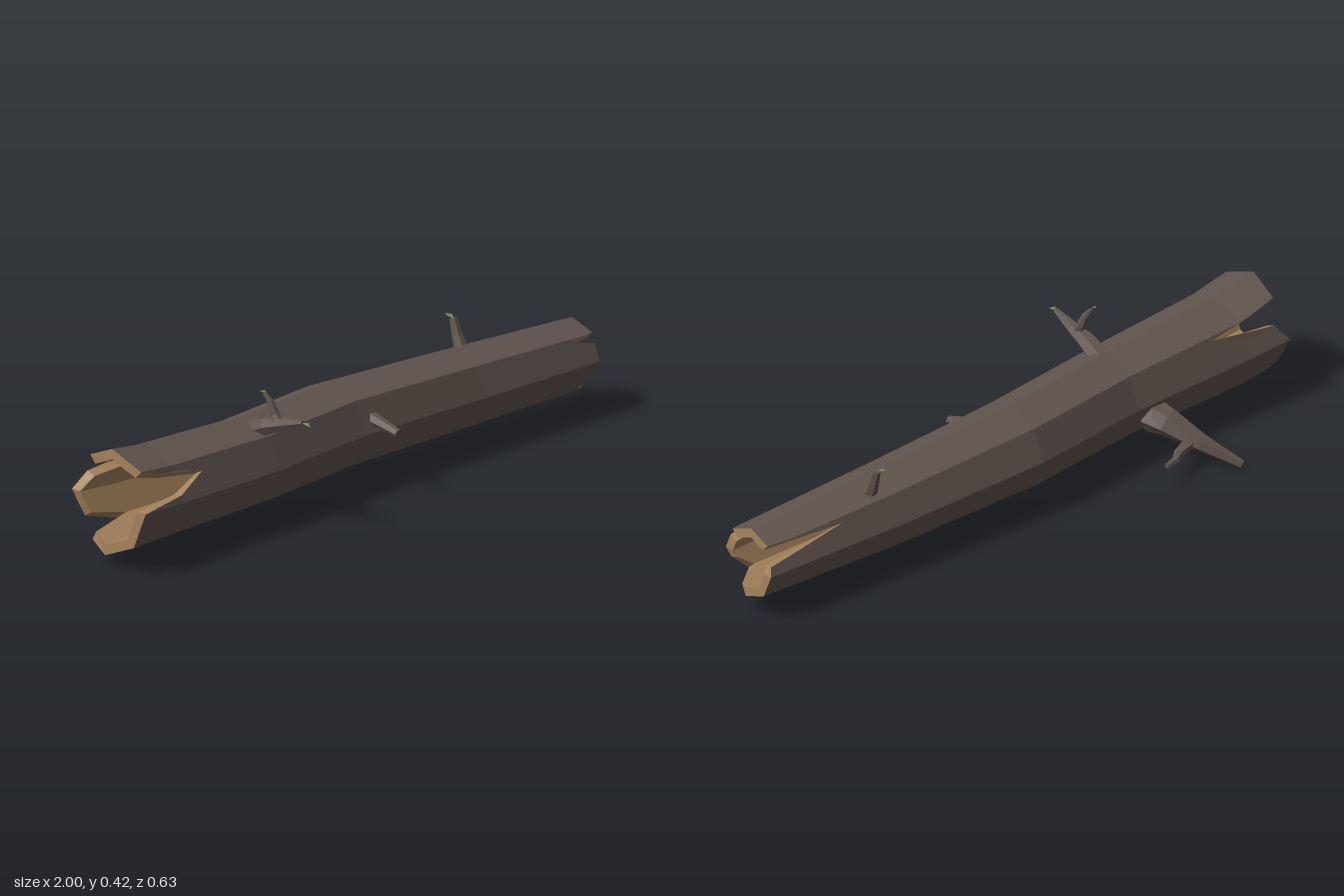
import * as THREE from 'three';

const mat = (color) => new THREE.MeshStandardMaterial({ color, flatShading: true, side: THREE.DoubleSide, roughness: 0.9 });
const V = (x, y, z) => new THREE.Vector3(x, y, z);

// Collects quads and turns them into a flat-shaded mesh
function quadMesh(name, quads, material) {
  const pts = [];
  for (const [a, b, c, d] of quads) pts.push(a, b, c, a, c, d);
  const geo = new THREE.BufferGeometry().setFromPoints(pts);
  geo.computeVertexNormals();
  const mesh = new THREE.Mesh(geo, material);
  mesh.name = name;
  return mesh;
}

// Piecewise linear lookup: rows of [key, ...values]
function lookup(table, t) {
  let i = 0;
  while (i < table.length - 2 && t > table[i + 1][0]) i++;
  const [a, b] = [table[i], table[i + 1]];
  const f = (t - a[0]) / (b[0] - a[0]);
  return a.slice(1).map((v, k) => v + (b[k + 1] - v) * f);
}

// Trunk stations: x, centre y, centre z, outer radius, inner radius
const TRUNK = [
  [-1, 0.2, 0.052, 0.16, 0.128],
  [-0.82, 0.188, 0.048, 0.148, 0.115],
  [-0.4, 0.18, 0.048, 0.137, 0.106],
  [0, 0.18, 0.015, 0.136, 0.103],
  [0.5, 0.17, 0.029, 0.125, 0.094],
  [1, 0.165, 0.052, 0.109, 0.079],
];

// Splintered ends: x of the broken edge by octagon corner (0 top, 2 front, 4 bottom, 6 back)
const LEFT_END = [
  [0, -0.97], [1, -0.965], [1.15, -0.87], [1.35, -0.71], [1.8, -0.82], [2, -1], [4, -1], [4.6, -0.98],
  [5, -0.82], [5.3, -0.95], [6, -0.97], [6.5, -0.93], [6.9, -0.71], [7.05, -0.88], [7.15, -0.96], [8, -0.97],
];
const RIGHT_END = [
  [0, 0.98], [0.95, 0.985], [1.1, 0.9], [1.35, 0.98], [2, 0.98], [2.4, 0.97], [3, 0.92], [3.5, 0.98],
  [4, 1], [6, 1], [6.35, 0.99], [6.8, 0.72], [7, 0.9], [7.1, 0.98], [8, 0.98],
];

// Point on the octagonal trunk wall at corner position u and distance x
function wallPoint(u, x, inner) {
  const [cy, cz, ro, ri] = lookup(TRUNK, x);
  const r = inner ? ri : ro;
  const corner = (k) => V(x, cy + r * Math.cos(k * Math.PI / 4), cz + r * Math.sin(k * Math.PI / 4));
  const k = Math.floor(u);
  return corner(k).lerp(corner(k + 1), u - k);
}

function makeTrunk(bark, wood) {
  const us = [...LEFT_END, ...RIGHT_END].map((p) => p[0]);
  for (let k = 0; k <= 8; k++) us.push(k);
  const columns = [...new Set(us)].sort((a, b) => a - b).map((u) => {
    const [l] = lookup(LEFT_END, u);
    const [r] = lookup(RIGHT_END, u);
    const xs = [l, Math.max(l, -0.82), -0.66, -0.4, 0, 0.5, 0.7, Math.min(r, 0.88), r];
    return { out: xs.map((x) => wallPoint(u, x, false)), inn: xs.map((x) => wallPoint(u, x, true)) };
  });
  const outer = [], inner = [], rims = [];
  for (let i = 0; i < columns.length - 1; i++) {
    const a = columns[i], b = columns[i + 1], n = a.out.length - 1;
    for (let j = 0; j < n; j++) {
      outer.push([a.out[j], b.out[j], b.out[j + 1], a.out[j + 1]]);
      inner.push([a.inn[j], a.inn[j + 1], b.inn[j + 1], b.inn[j]]);
    }
    rims.push([a.out[0], a.inn[0], b.inn[0], b.out[0]]);
    rims.push([a.out[n], b.out[n], b.inn[n], a.inn[n]]);
  }
  const trunk = new THREE.Group();
  trunk.name = 'trunk';
  trunk.add(quadMesh('bark', outer, bark), quadMesh('hollow', inner, wood), quadMesh('splinteredEnds', rims, wood));
  return trunk;
}

// Tapered branch through path points [x, y, z, radius]
function makeBranch(name, path, material, sides = 6) {
  const pts = path.map((p) => V(p[0], p[1], p[2]));
  const rings = pts.map((p, i) => {
    const dir = pts[Math.min(i + 1, pts.length - 1)].clone().sub(pts[Math.max(i - 1, 0)]).normalize();
    const s = V(1, 0, 0).addScaledVector(dir, -dir.x).normalize();
    const t = dir.clone().cross(s);
    return Array.from({ length: sides + 1 }, (_, k) => {
      const a = (k / sides) * Math.PI * 2;
      return p.clone().addScaledVector(s, Math.cos(a) * path[i][3]).addScaledVector(t, Math.sin(a) * path[i][3]);
    });
  });
  const quads = [], last = rings.length - 1;
  for (let k = 0; k < sides; k++) {
    for (let i = 0; i < last; i++) quads.push([rings[i][k], rings[i][k + 1], rings[i + 1][k + 1], rings[i + 1][k]]);
    quads.push([rings[last][k], rings[last][k + 1], pts[last], pts[last]]);
  }
  return quadMesh(name, quads, material);
}

// Small folded leaf from base to tip
function makeLeaf(name, from, to, width, material) {
  const a = V(...from), b = V(...to);
  const mid = a.clone().lerp(b, 0.5);
  const l = mid.clone().add(V(-width, 0.004, 0)), r = mid.clone().add(V(width, 0.004, 0));
  return quadMesh(name, [[a, l, b, b], [a, b, r, r]], material);
}

export function createModel() {
  const model = new THREE.Group();
  model.name = 'hollowLog';
  const bark = mat(0x62554f), wood = mat(0xa5835c), green = mat(0x6f8a4a);

  model.add(makeTrunk(bark, wood));

  // Branches
  const branches = {
    backBranch: [[-0.475, 0.125, -0.06, 0.052], [-0.485, 0.12, -0.12, 0.043], [-0.53, 0.075, -0.21, 0.028], [-0.605, 0.014, -0.305, 0.013]],
    backTwig: [[-0.52, 0.08, -0.19, 0.02], [-0.45, 0.068, -0.205, 0.016], [-0.42, 0.066, -0.225, 0.012], [-0.38, 0.065, -0.23, 0.008]],
    frontBranch: [[-0.4, 0.28, 0.08, 0.034], [-0.405, 0.307, 0.14, 0.028], [-0.405, 0.325, 0.2, 0.02], [-0.41, 0.349, 0.283, 0.008]],
    frontTwig: [[-0.405, 0.32, 0.185, 0.017], [-0.405, 0.35, 0.168, 0.014], [-0.41, 0.385, 0.155, 0.011], [-0.418, 0.412, 0.138, 0.006]],
    frontStub: [[0.05, 0.215, 0.12, 0.021], [0.05, 0.204, 0.175, 0.017], [0.054, 0.19, 0.226, 0.013]],
    topStub: [[0.58, 0.255, -0.012, 0.023], [0.58, 0.3, -0.03, 0.018], [0.578, 0.349, -0.044, 0.012]],
  };
  for (const [name, path] of Object.entries(branches)) model.add(makeBranch(name, path, bark));

  // Leaves
  model.add(makeLeaf('frontLeaf', [-0.41, 0.349, 0.28], [-0.41, 0.343, 0.312], 0.01, green));
  model.add(makeLeaf('twigLeaf', [-0.418, 0.411, 0.145], [-0.43, 0.417, 0.13], 0.009, green));
  model.add(makeLeaf('topLeaf', [0.578, 0.347, -0.04], [0.572, 0.36, -0.073], 0.011, green));
  return model;
}
